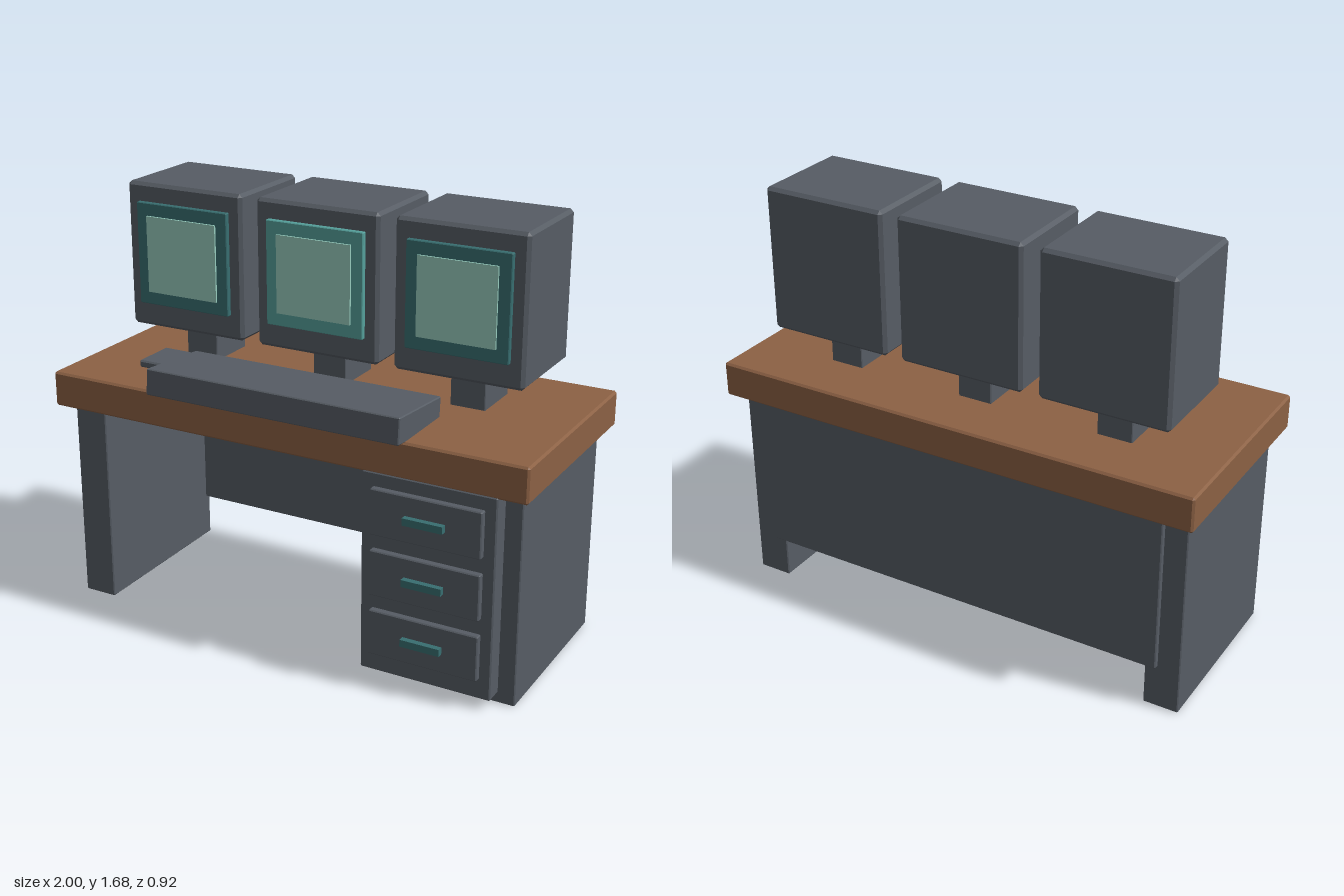
import * as THREE from 'three';
import { ConvexGeometry } from 'three/addons/geometries/ConvexGeometry.js';

const material = (name, color) => {
  const m = new THREE.MeshStandardMaterial({ color });
  m.name = name;
  return m;
};

// Box with flat chamfered edges, centred on the origin
function chamferBox(w, h, d, c) {
  const points = [];
  for (const sx of [-1, 1]) for (const sy of [-1, 1]) for (const sz of [-1, 1]) {
    for (let axis = 0; axis < 3; axis++) {
      const inset = [c, c, c];
      inset[axis] = 0;
      points.push(new THREE.Vector3(
        sx * (w / 2 - inset[0]), sy * (h / 2 - inset[1]), sz * (d / 2 - inset[2])));
    }
  }
  return new ConvexGeometry(points);
}

export function createModel() {
  const grey = material('slate grey', 0x565c64);
  const wood = material('brown wood', 0x8c6144);
  const darkTeal = material('dark teal', 0x386e70);
  const teal = material('bright teal', 0x55a09b);
  const glass = material('pale green screen', 0x96cbbd);

  const model = new THREE.Group();
  model.name = 'computerDesk';

  // Adds a box spanning the given x, y and z ranges
  function box(parent, name, mat, [x0, x1], [y0, y1], [z0, z1], chamfer = 0) {
    const size = [x1 - x0, y1 - y0, z1 - z0];
    const geometry = chamfer ? chamferBox(...size, chamfer) : new THREE.BoxGeometry(...size);
    const mesh = new THREE.Mesh(geometry, mat);
    mesh.name = name;
    mesh.position.set((x0 + x1) / 2, (y0 + y1) / 2, (z0 + z1) / 2);
    parent.add(mesh);
    return mesh;
  }

  // Desk: worktop, side panels and back panel
  box(model, 'worktop', wood, [-1, 1], [0.83, 0.97], [-0.455, 0.412], 0.008);
  box(model, 'rightSidePanel', grey, [-0.957, -0.817], [0, 0.835], [-0.383, 0.34], 0.004);
  box(model, 'leftSidePanel', grey, [0.817, 0.957], [0, 0.835], [-0.383, 0.34], 0.004);
  box(model, 'backPanel', grey, [-0.868, 0.868], [0.18, 0.835], [-0.405, -0.355], 0.004);

  // Drawer cabinet
  box(model, 'drawerCabinet', grey, [0.365, 0.89], [0.04, 0.835], [-0.16, 0.412], 0.005);
  for (let i = 0; i < 3; i++) {
    const y = 0.21 + i * 0.241;
    const drawer = new THREE.Group();
    drawer.name = 'drawer';
    box(drawer, 'drawerFront', grey, [0.41, 0.845], [y - 0.09, y + 0.09], [0.405, 0.438], 0.004);
    box(drawer, 'drawerHandle', darkTeal, [0.55, 0.707], [y - 0.014, y + 0.014], [0.43, 0.461]);
    model.add(drawer);
  }

  // Three monitors on short stands
  for (const x of [-0.582, 0, 0.58]) {
    const monitor = new THREE.Group();
    monitor.name = 'monitor';
    monitor.position.x = x;
    box(monitor, 'stand', grey, [-0.07, 0.07], [0.965, 1.12], [-0.222, -0.01], 0.003);
    box(monitor, 'housing', grey, [-0.258, 0.258], [1.108, 1.683], [-0.326, 0.092], 0.013);
    box(monitor, 'bezel', x === 0 ? teal : darkTeal,
      [-0.204, 0.204], [1.205, 1.61], [0.085, 0.112], 0.003);
    box(monitor, 'screen', glass, [-0.156, 0.156], [1.257, 1.56], [0.111, 0.12]);
    model.add(monitor);
  }

  // Tilted keyboard console and the flat pad beside it
  const console = box(model, 'keyboard', grey, [-0.53, 0.53], [0.958, 1.06], [0.118, 0.452], 0.004);
  console.rotation.x = -0.08;
  box(model, 'sidePad', grey, [-0.73, -0.52], [0.975, 1.004], [0.033, 0.216], 0.006);

  return model;
}
